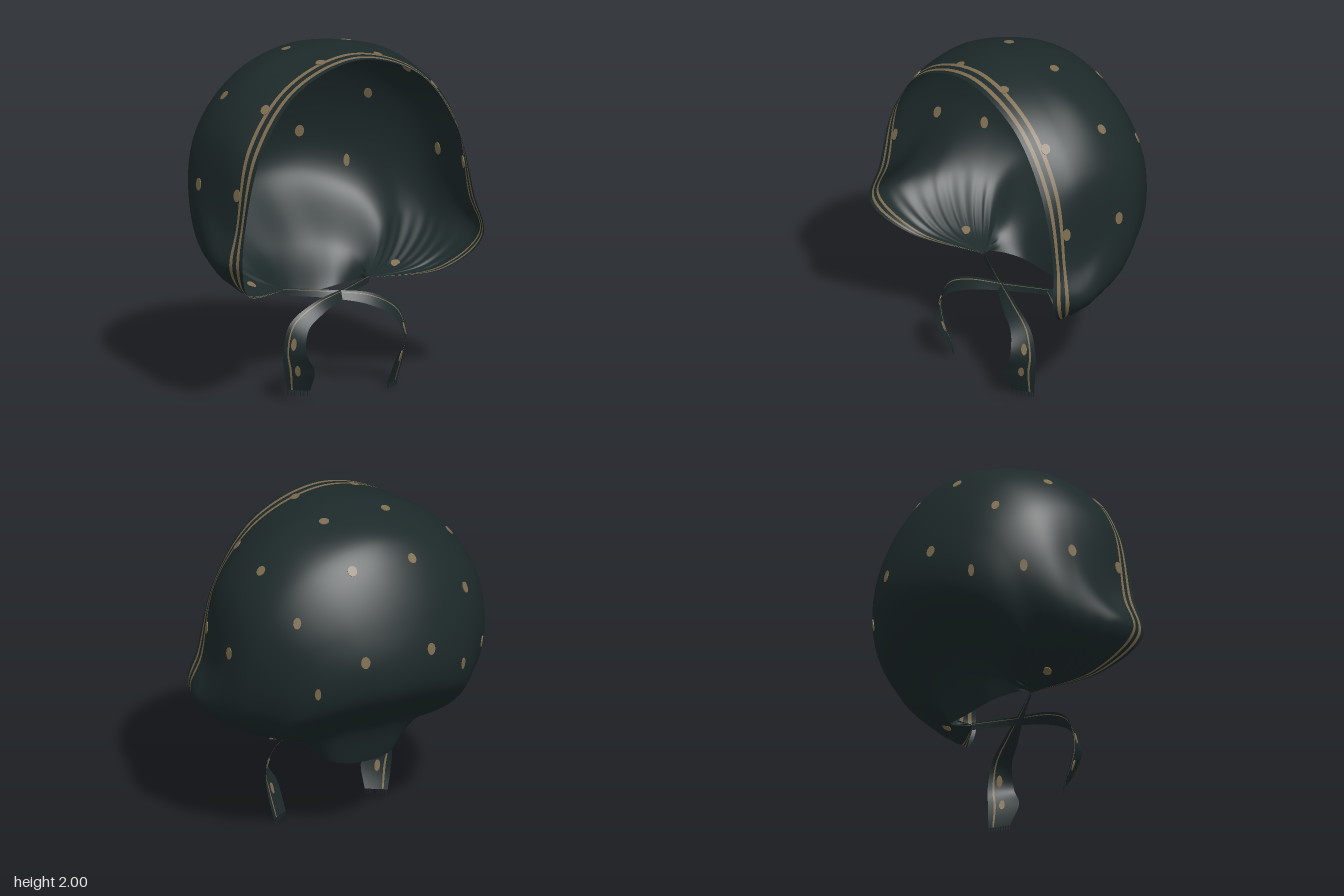
import * as THREE from 'three';

const V = (p) => new THREE.Vector3(...p);

// Half arches from the crown line (x = 0) down to the side, hinged at the neck corner.
// They run from the face opening, over the head, to the nape.
const NECK = [0.27, 0.59, 0.14];
const ARCHES = [
  [[0, 1.975, 0.5], [0.4, 1.835, 0.5], [0.64, 1.5, 0.5], [0.745, 1.1, 0.505], [0.785, 0.86, 0.54], [0.64, 0.65, 0.37]],
  [[0, 2.0, 0.25], [0.435, 1.87, 0.27], [0.71, 1.56, 0.3], [0.775, 1.06, 0.32], [0.84, 0.86, 0.33], [0.61, 0.65, 0.26]],
  [[0, 1.99, 0.08], [0.44, 1.88, 0.07], [0.715, 1.575, 0.04], [0.785, 1.2, 0.06], [0.78, 0.85, 0.12], [0.56, 0.655, 0.18]],
  [[0, 1.89, -0.25], [0.39, 1.78, -0.23], [0.665, 1.51, -0.18], [0.76, 1.18, -0.1], [0.73, 0.86, -0.01], [0.51, 0.655, 0.1]],
  [[0, 1.5, -0.49], [0.28, 1.465, -0.46], [0.535, 1.33, -0.365], [0.65, 1.1, -0.25], [0.63, 0.85, -0.12], [0.45, 0.65, 0.05]],
  [[0, 1.1, -0.535], [0.2, 1.09, -0.51], [0.4, 1.02, -0.425], [0.52, 0.92, -0.31], [0.53, 0.76, -0.15], [0.39, 0.63, 0.01]],
  [[0, 0.72, -0.205], [0.13, 0.72, -0.195], [0.24, 0.7, -0.16], [0.31, 0.67, -0.1], [0.33, 0.63, -0.02], [0.31, 0.61, 0.06]],
  [[0, 0.485, -0.11], [0.1, 0.49, -0.105], [0.19, 0.51, -0.08], [0.245, 0.535, -0.03], [0.275, 0.56, 0.03], [0.28, 0.58, 0.09]],
];

// Dots on one half, with relative width; each is snapped to the cloth and mirrored.
const DOTS = [
  [0.2, 1.8, -0.35, 1], [0.2, 1.3, -0.52, 1], [0.545, 1.545, -0.34, 0.85], [0.45, 1.12, -0.4, 0.65],
  [0.205, 1.95, 0.015, 1.1], [0.605, 1.76, 0.01, 1], [0.79, 1.26, 0.05, 1], [0.195, 1.95, 0.392, 1.1],
  [0.545, 1.74, 0.392, 1], [0.74, 1.27, 0.395, 0.9], [0.47, 0.65, 0.1, 1],
];

// Smooth cloth from rows of points; rows listed in goldRows take the second material.
function clothMesh(name, rows, goldRows, materials) {
  const cols = rows[0].length;
  const geometry = new THREE.BufferGeometry().setFromPoints(rows.flat());
  const index = [];
  for (let i = 0; i < rows.length - 1; i++) {
    geometry.addGroup(index.length, (cols - 1) * 6, goldRows.includes(i) ? 1 : 0);
    for (let j = 0; j < cols - 1; j++) {
      const a = i * cols + j, b = a + cols;
      index.push(a, a + 1, b, a + 1, b + 1, b);
    }
  }
  geometry.setIndex(index);
  geometry.computeVertexNormals();
  const mesh = new THREE.Mesh(geometry, materials);
  mesh.name = name;
  return mesh;
}

// One full arch of the hood at v (0 = face opening, 7 = nape).
function hoodRow(v) {
  const half = ARCHES[0].map((_, j) =>
    new THREE.CatmullRomCurve3(ARCHES.map((arch) => V(arch[j]))).getPoint(v / (ARCHES.length - 1)));
  half.push(V(NECK));
  const mirrored = half.slice(1).reverse().map((p) => new THREE.Vector3(-p.x, p.y, p.z));
  const points = new THREE.CatmullRomCurve3([...mirrored, ...half]).getPoints(168);
  // Small gathers that fade in toward the neck corners
  points.forEach((p, k) => {
    const t = Math.abs(k / 84 - 1);
    const w = Math.max(0, 1 - Math.abs(t - 0.82) / 0.18) * Math.min(1, v);
    p.x += Math.sign(p.x) * 0.006 * w * Math.sin(v * 11);
  });
  return points;
}

// Thin oval disc on the cloth point nearest to the target, showing on both faces.
function makeDot(cloth, target, width, material) {
  const { position, normal } = cloth.geometry.attributes;
  const p = new THREE.Vector3();
  let best = 0, bestDistance = Infinity;
  for (let i = 0; i < position.count; i++) {
    const d = p.fromBufferAttribute(position, i).distanceToSquared(target);
    if (d < bestDistance) { bestDistance = d; best = i; }
  }
  const n = new THREE.Vector3().fromBufferAttribute(normal, best).normalize();
  const across = new THREE.Vector3(0, 1, 0).cross(n).normalize();
  const along = across.clone().cross(n);
  const disc = new THREE.Mesh(new THREE.CylinderGeometry(1, 1, 0.008, 14), material);
  disc.name = 'dot';
  disc.position.fromBufferAttribute(position, best);
  disc.quaternion.setFromRotationMatrix(new THREE.Matrix4().makeBasis(across, n, along));
  // Taller on upright cloth, rounder on the crown
  disc.scale.set(0.027 * width, 1, 0.026 + 0.011 * (1 - Math.abs(n.y)));
  return disc;
}

export function createModel() {
  const dark = new THREE.MeshStandardMaterial({ color: 0x1d292a, side: THREE.DoubleSide });
  dark.name = 'darkCloth';
  const gold = new THREE.MeshStandardMaterial({ color: 0x7d6c4f, side: THREE.DoubleSide });
  gold.name = 'goldPrint';
  const group = new THREE.Group();
  group.name = 'bonnet';

  // Hood with two gold stripes along the face opening
  const levels = [0, 0.12, 0.22, 0.35, 0.45];
  for (let i = 10; i <= 140; i++) levels.push(i / 20);
  const hood = clothMesh('hood', levels.map(hoodRow), [1, 3], [dark, gold]);
  group.add(hood);

  // Printed dots, with one extra on the right side by the gathers
  const dots = new THREE.Group();
  dots.name = 'dots';
  for (const [x, y, z, width] of DOTS) {
    for (const side of [-1, 1]) dots.add(makeDot(hood, V([side * x, y, z]), width, gold));
  }
  dots.add(makeDot(hood, V([-0.68, 1.12, -0.22]), 0.8, gold));
  group.add(dots);

  // Ties: ribbons that start at the neck corners, cross under the chin and hang down
  const outer = [[-0.28, 0.605, 0.13], [-0.05, 0.585, 0.23], [0.2, 0.55, 0.315], [0.355, 0.45, 0.335],
    [0.4, 0.3, 0.335], [0.39, 0.18, 0.33], [0.36, 0.03, 0.31]];
  const inner = [[-0.28, 0.56, 0.13], [-0.05, 0.54, 0.25], [0.15, 0.5, 0.36], [0.28, 0.42, 0.415],
    [0.32, 0.3, 0.46], [0.265, 0.19, 0.455], [0.25, 0.03, 0.38]];
  const threadGeometry = new THREE.BoxGeometry(0.003, 0.03, 0.003);
  for (const side of [1, -1]) {
    const edge = (points) => new THREE.CatmullRomCurve3(points.map(([x, y, z], i) => new THREE.Vector3(
      side * x,
      y + (side < 0 && i === 6 ? 0.03 : 0),
      z + (side < 0 && i > 0 && i < 3 ? 0.015 : 0)))).getPoints(60);
    const a = edge(outer), b = edge(inner);
    const rows = [0, 0.18, 0.25, 0.45, 0.75, 1].map((f) => a.map((p, i) => p.clone().lerp(b[i], f)));
    const tie = new THREE.Group();
    tie.name = side > 0 ? 'leftTie' : 'rightTie';
    const ribbon = clothMesh('ribbon', rows, [1], [dark, gold]);
    tie.add(ribbon);
    for (const i of [37, 50]) tie.add(makeDot(ribbon, rows[3][i], 0.6, gold));

    // Frayed end
    for (let i = 0; i < 13; i++) {
      const thread = new THREE.Mesh(threadGeometry, dark);
      thread.name = 'fringeThread';
      thread.position.copy(a[60]).lerp(b[60], (i + 0.5) / 13);
      thread.position.y -= 0.015;
      tie.add(thread);
    }
    group.add(tie);
  }
  return group;
}
